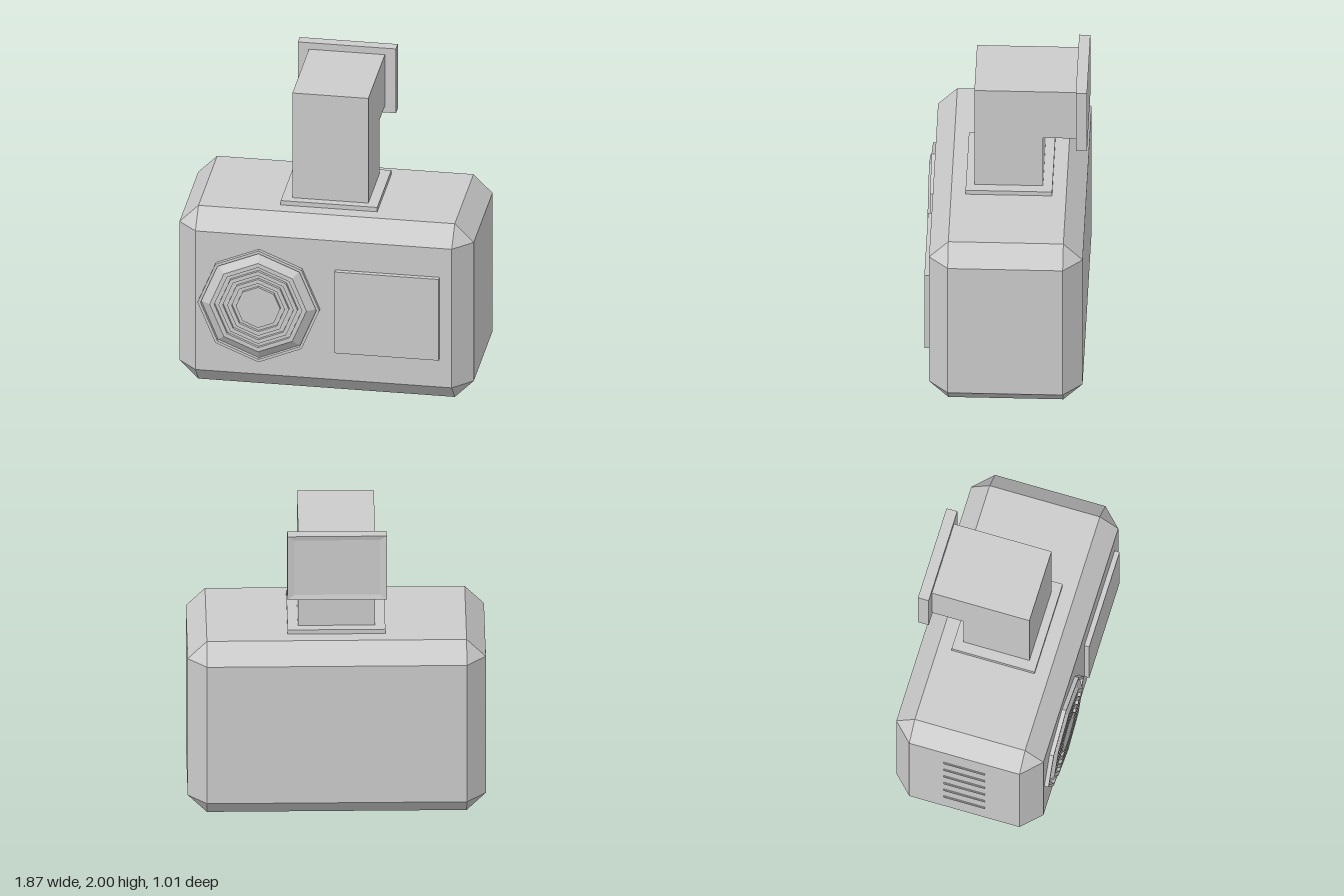
import * as THREE from 'three';
import { ConvexGeometry } from 'three/addons/geometries/ConvexGeometry.js';

const grey = new THREE.MeshStandardMaterial({ color: 0xcccccc, flatShading: true });

export function createModel() {
  const model = new THREE.Group();

  const add = (name, geometry) => {
    const mesh = new THREE.Mesh(geometry, grey);
    mesh.name = name;
    model.add(mesh);
    return mesh;
  };
  // box given by its limits on each axis
  const addBox = (name, [x0, x1], [y0, y1], [z0, z1]) =>
    add(name, new THREE.BoxGeometry(x1 - x0, y1 - y0, z1 - z0))
      .position.set((x0 + x1) / 2, (y0 + y1) / 2, (z0 + z1) / 2);
  const profile = (pairs) => pairs.map(([r, h]) => new THREE.Vector2(r, h));

  // body: box with all edges chamfered and corners cut to triangles
  const half = [0.93, 0.6, 0.479], cut = 0.12, corners = [];
  for (const sx of [-1, 1]) for (const sy of [-1, 1]) for (const sz of [-1, 1]) {
    for (let axis = 0; axis < 3; axis++) {
      const p = half.map((h, i) => (i === axis ? h : h - cut));
      corners.push(new THREE.Vector3(p[0] * sx, p[1] * sy, p[2] * sz));
    }
  }
  add('body', new ConvexGeometry(corners)).position.set(0, 0.6, -0.016);

  // front panel
  addBox('frontPanel', [0.075, 0.733], [0.318, 0.88], [0.44, 0.495]);

  // octagonal grille: outer rim, sloped ring and concentric ridges
  const top = 0.505, low = 0.485;
  const grille = [[0.385, 0.44], [0.385, 0.49], [0.366, 0.49], [0.366, 0.464], [0.306, top]];
  const radii = [0.277, 0.25, 0.223, 0.195, 0.167, 0.14];
  radii.forEach((r, i) => {
    const down = i % 2 === 0;
    grille.push([r, down ? top : low], [r, down ? low : top]);
  });
  grille.push([0, top]);
  const grilleGeometry = new THREE.LatheGeometry(profile(grille), 8);
  grilleGeometry.rotateX(Math.PI / 2);
  add('octagonalGrille', grilleGeometry).position.set(-0.407, 0.6, 0);

  // side vents
  for (let i = 0; i < 6; i++) {
    const y = 0.295 + i * 0.122;
    addBox('sideVent', [-0.936, -0.91], [y - 0.01, y + 0.01], [-0.15, 0.12]);
  }

  // neck: base plate and L-shaped duct
  addBox('neckBasePlate', [-0.305, 0.305], [1.19, 1.23], [-0.287, 0.253]);
  const elbow = new THREE.Shape(profile([
    [0.2, 1.2], [0.2, 1.955], [-0.44, 1.955], [-0.44, 1.6], [-0.228, 1.6], [-0.228, 1.2],
  ]));
  const elbowGeometry = new THREE.ExtrudeGeometry(elbow, { depth: 0.48, bevelEnabled: false });
  elbowGeometry.rotateY(-Math.PI / 2);
  add('neckElbow', elbowGeometry).position.x = 0.24;

  // rear mounting plate with a shallow dished face
  const plate = new THREE.LatheGeometry(
    profile([[0, 0.435], [1, 0.435], [1, 0.505], [0.86, 0.497], [0, 0.497]]), 4, Math.PI / 4);
  plate.rotateX(-Math.PI / 2);
  plate.scale(0.31 * Math.SQRT2, 0.2225 * Math.SQRT2, 1);
  add('rearMountingPlate', plate).position.y = 1.7775;

  return model;
}
